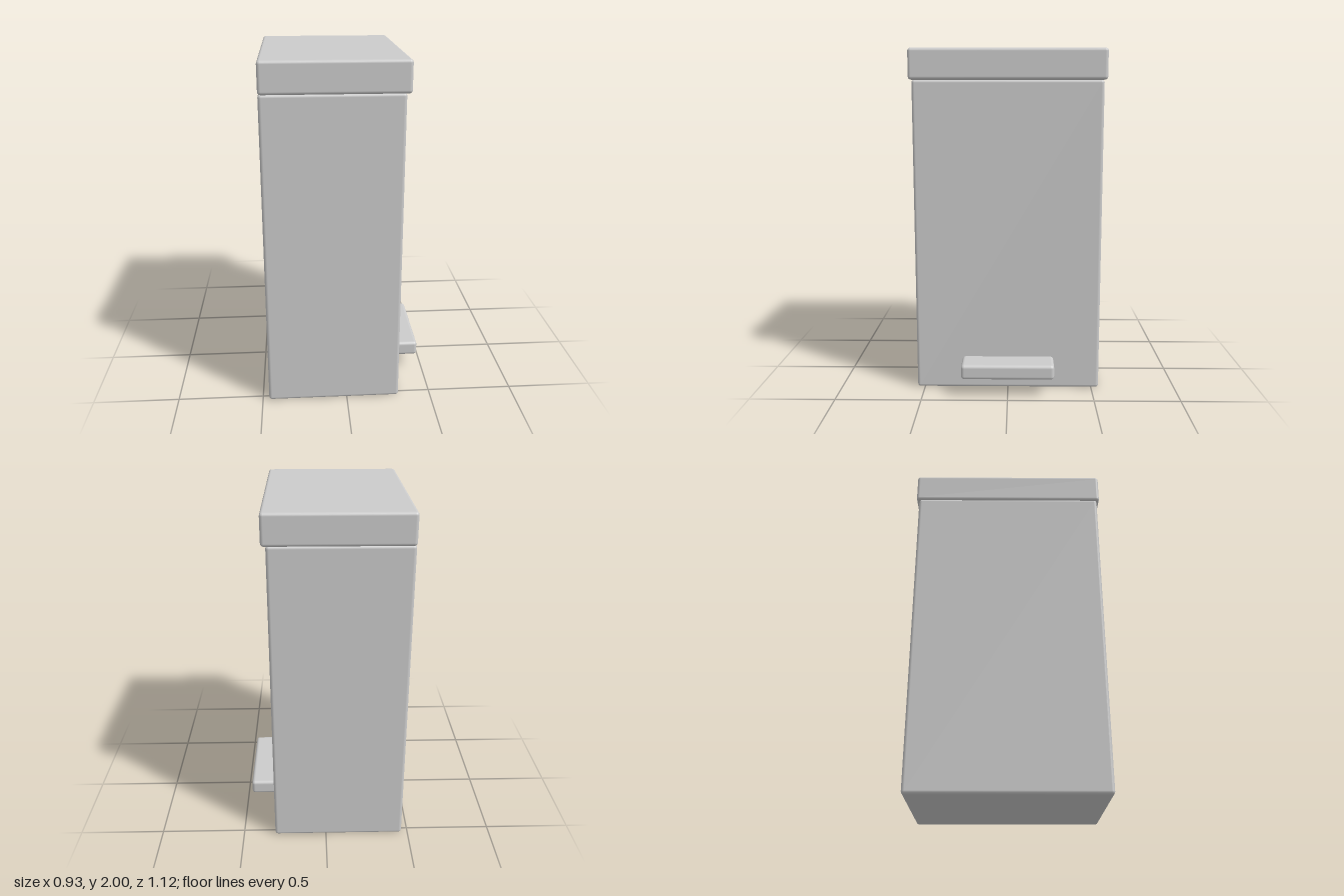
import * as THREE from 'three';
import { RoundedBoxGeometry } from 'three/addons/geometries/RoundedBoxGeometry.js';

const material = new THREE.MeshStandardMaterial({ color: 0xcccccc });

// Rounded box spanning [x0, x1] and [y0, y1], centred on z = 0
function block(name, x0, x1, y0, y1, depth, radius) {
  const geometry = new RoundedBoxGeometry(x1 - x0, y1 - y0, depth, 3, radius);
  const mesh = new THREE.Mesh(geometry, material);
  mesh.name = name;
  mesh.position.set((x0 + x1) / 2, (y0 + y1) / 2, 0);
  return mesh;
}

export function createModel() {
  const bin = new THREE.Group();
  bin.name = 'pedalBin';
  bin.add(
    block('body', -0.463, 0.31, 0, 1.826, 1.09, 0.018),
    // Lid overhangs the body on three sides and is flush at the hinge side
    block('lid', -0.463, 0.335, 1.824, 2, 1.122, 0.018),
    // Foot pedal, set slightly into the body wall
    block('pedal', 0.22, 0.463, 0.107, 0.195, 0.544, 0.02),
  );
  return bin;
}
